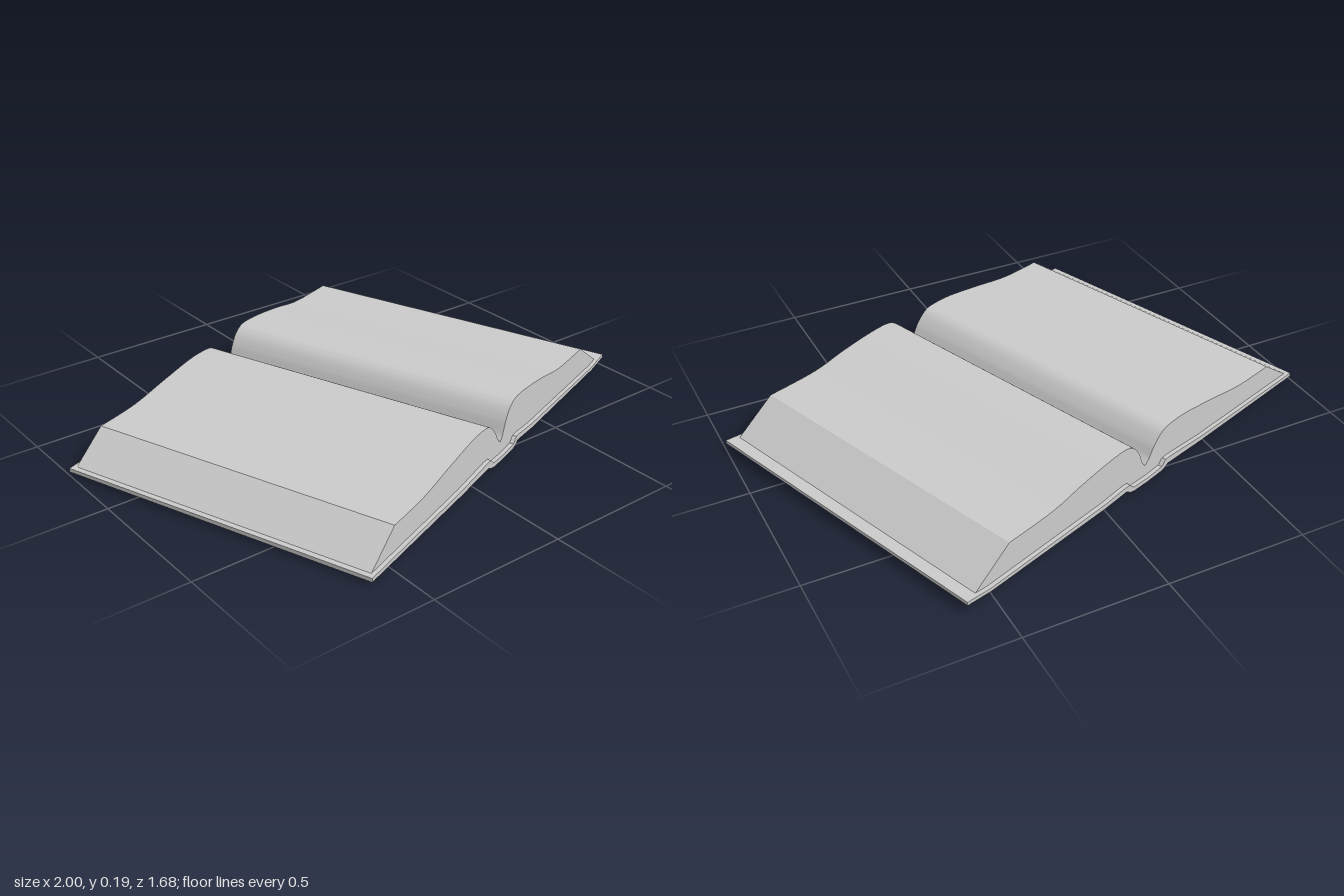
import * as THREE from 'three';
import { toCreasedNormals } from 'three/addons/utils/BufferGeometryUtils.js';

const material = new THREE.MeshStandardMaterial({ color: 0xcccccc });
const toVectors = (list) => list.map(([x, y]) => new THREE.Vector2(x, y));
const smooth = (list, n) => new THREE.SplineCurve(toVectors(list)).getPoints(n);

// Extrudes a closed cross-section along z, centred on z
function slab(name, outline, length, z = 0) {
  const geometry = new THREE.ExtrudeGeometry(new THREE.Shape(outline), {
    depth: length, bevelEnabled: false, steps: 1,
  });
  geometry.translate(0, 0, z - length / 2);
  const mesh = new THREE.Mesh(toCreasedNormals(geometry, 0.5), material);
  mesh.name = name;
  return mesh;
}

export function createModel() {
  const book = new THREE.Group();
  book.name = 'openBook';

  // Cover: inner face, then outer face, with a sunken spine between two boards
  const inner = [
    [-0.85, 0.027], [-0.3, 0.034], [-0.12, 0.046], [-0.095, 0.045], [-0.075, 0.025],
    [0, 0.021],
    [0.075, 0.025], [0.095, 0.045], [0.12, 0.046], [0.22, 0.038], [0.75, 0.035], [0.85, 0.046],
  ];
  const outer = [
    [0.85, 0.033], [0.75, 0.022], [0.22, 0.02], [0.11, 0.026], [0.09, 0.012], [0.07, 0.007],
    [0, 0.005],
    [-0.07, 0.007], [-0.09, 0.012], [-0.11, 0.022], [-0.3, 0.016], [-0.85, 0.013],
  ];
  book.add(slab('cover', toVectors([...inner, ...outer]), 1.17));

  // Page blocks: arched tops meeting in the gutter, sloping fore edges
  const leftTop = smooth([
    [-0.7, 0.121], [-0.53, 0.125], [-0.37, 0.149], [-0.22, 0.17], [-0.13, 0.171],
    [-0.085, 0.16], [-0.045, 0.122], [-0.02, 0.083], [0, 0.065],
  ], 48);
  const rightTop = smooth([
    [0, 0.065], [0.015, 0.085], [0.035, 0.132], [0.065, 0.171], [0.11, 0.189],
    [0.2, 0.186], [0.325, 0.17], [0.46, 0.147], [0.655, 0.144],
  ], 48);
  const sunk = (list) => list.map(([x, y]) => [x, y - 0.003]);
  const leftBase = sunk(inner.slice(1, 6)).reverse();
  const rightBase = sunk(inner.slice(5, 11)).reverse();
  book.add(slab('leftPages', [
    ...toVectors([[-0.835, 0.024]]), ...leftTop, ...toVectors(leftBase),
  ], 1.14));
  book.add(slab('rightPages', [
    ...rightTop, ...toVectors([[0.81, 0.036], ...rightBase]),
  ], 1.14));

  // Raised bands across the spine
  const band = [
    ...smooth([[-0.092, 0.014], [-0.08, 0.005], [-0.05, 0.001], [0, 0],
      [0.05, 0.001], [0.08, 0.005], [0.092, 0.014]], 18),
  ];
  for (let i = 0; i < 4; i++) {
    book.add(slab('spineBand', band, 0.03, -0.351 + i * 0.234));
  }

  // The book lies turned on its base
  book.rotation.y = 0.349;
  const model = new THREE.Group();
  model.add(book);
  return model;
}
